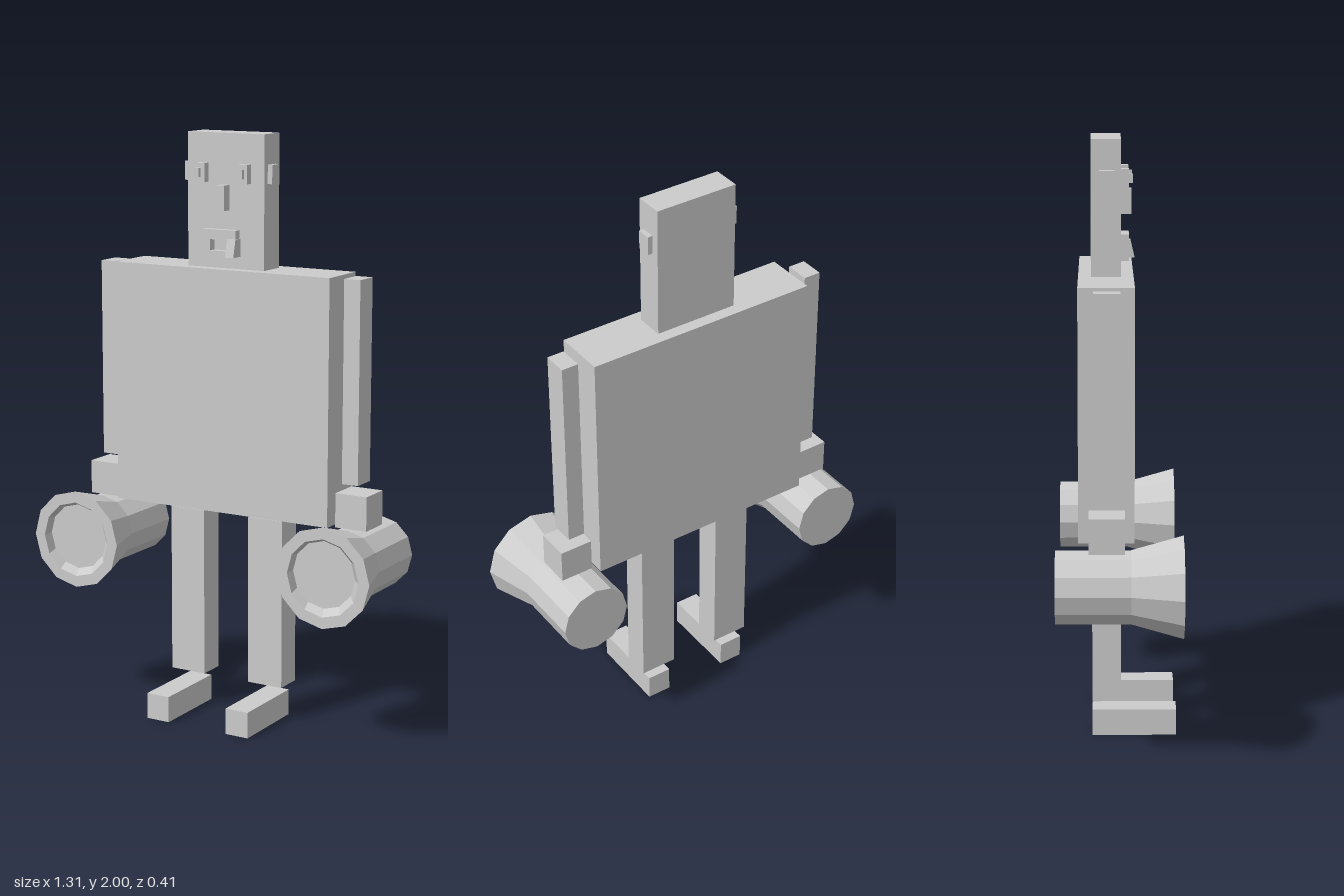
import * as THREE from 'three';

const material = new THREE.MeshStandardMaterial({ color: 0xcccccc, flatShading: true });

function add(parent, name, geometry) {
  const mesh = new THREE.Mesh(geometry, material);
  mesh.name = name;
  parent.add(mesh);
  return mesh;
}

// Box given by its extents along each axis
function box(parent, name, [x0, x1], [y0, y1], [z0, z1]) {
  const mesh = add(parent, name, new THREE.BoxGeometry(x1 - x0, y1 - y0, z1 - z0));
  mesh.position.set((x0 + x1) / 2, (y0 + y1) / 2, (z0 + z1) / 2);
  return mesh;
}

// Twelve-sided flared horn facing +z, with a shallow recess leaning to one side
function hornGeometry() {
  const profile = [
    [0, -0.205], [0.122, -0.205], [0.122, 0.037], [0.17, 0.205], [0.131, 0.205],
    [0.114, 0.165], [0, 0.165],
  ].map(([r, h]) => new THREE.Vector2(r, h));
  const geometry = new THREE.LatheGeometry(profile, 12);
  const pos = geometry.attributes.position;
  for (let i = 0; i < pos.count; i++) {
    if (i % profile.length >= 5) pos.setX(i, pos.getX(i) - 0.016); // recess floor
  }
  geometry.rotateX(Math.PI / 2);
  geometry.computeVertexNormals();
  return geometry;
}

// Rectangular mouth frame with an opening
function mouthGeometry() {
  const rect = (Type, x0, x1, y0, y1) => new Type([
    new THREE.Vector2(x0, y0), new THREE.Vector2(x1, y0),
    new THREE.Vector2(x1, y1), new THREE.Vector2(x0, y1),
  ]);
  const shape = rect(THREE.Shape, -0.07, 0.056, 1.596, 1.683);
  shape.holes.push(rect(THREE.Path, -0.042, 0.027, 1.613, 1.65));
  return new THREE.ExtrudeGeometry(shape, { depth: 0.028, bevelEnabled: false });
}

// Wedge hanging from the mouth corner: side profile extruded across x
function tongueGeometry() {
  const shape = new THREE.Shape([
    new THREE.Vector2(-0.008, 1.595), new THREE.Vector2(-0.008, 1.655),
    new THREE.Vector2(-0.042, 1.655), new THREE.Vector2(-0.056, 1.595),
  ]);
  const geometry = new THREE.ExtrudeGeometry(shape, { depth: 0.032, bevelEnabled: false });
  return geometry.rotateY(Math.PI / 2).translate(0.027, 0, 0);
}

export function createModel() {
  const model = new THREE.Group();
  model.name = 'blockFigure';

  // Torso
  box(model, 'torso', [-0.41, 0.415], [0.725, 1.553], [-0.132, 0.05]);

  // Head and face
  const head = new THREE.Group();
  head.name = 'head';
  model.add(head);
  box(head, 'skull', [-0.144, 0.149], [1.553, 2], [-0.09, 0.009]);
  box(head, 'rightEar', [-0.17, -0.14], [1.837, 1.9], [-0.062, -0.013]);
  box(head, 'leftEar', [0.14, 0.166], [1.837, 1.9], [-0.062, -0.013]);
  box(head, 'nose', [-0.016, 0.016], [1.746, 1.83], [0, 0.044]);
  for (const [side, x, px] of [['right', -0.082, -0.087], ['left', 0.08, 0.079]]) {
    box(head, side + 'Eye', [x - 0.018, x + 0.018], [1.837, 1.9], [0, 0.035]);
    box(head, side + 'Pupil', [px - 0.008, px + 0.008], [1.854, 1.884], [0.03, 0.048]);
  }
  add(head, 'mouth', mouthGeometry()).position.z = 0.008;
  add(head, 'tongue', tongueGeometry());

  // Arms with hands and horns
  const horn = hornGeometry();
  for (const [side, arm, hand, hornX] of [
    ['right', [-0.499, -0.438], [-0.543, -0.427], -0.484],
    ['left', [0.444, 0.503], [0.428, 0.543], 0.482],
  ]) {
    const group = new THREE.Group();
    group.name = side + 'ArmAssembly';
    model.add(group);
    box(group, side + 'Arm', arm, [0.868, 1.547], [-0.082, 0.004]);
    box(group, side + 'Hand', hand, [0.722, 0.838], [-0.098, 0.018]);
    add(group, side + 'Horn', horn).position.set(hornX, 0.6, 0);
  }

  // Legs and feet
  for (const [side, leg, foot] of [
    ['right', [-0.217, -0.085], [-0.201, -0.115]],
    ['left', [0.09, 0.222], [0.112, 0.198]],
  ]) {
    box(model, side + 'Leg', leg, [0.127, 0.712], [-0.088, 0.008]);
    box(model, side + 'Foot', foot, [0, 0.09], [-0.088, 0.195]);
  }

  return model;
}
